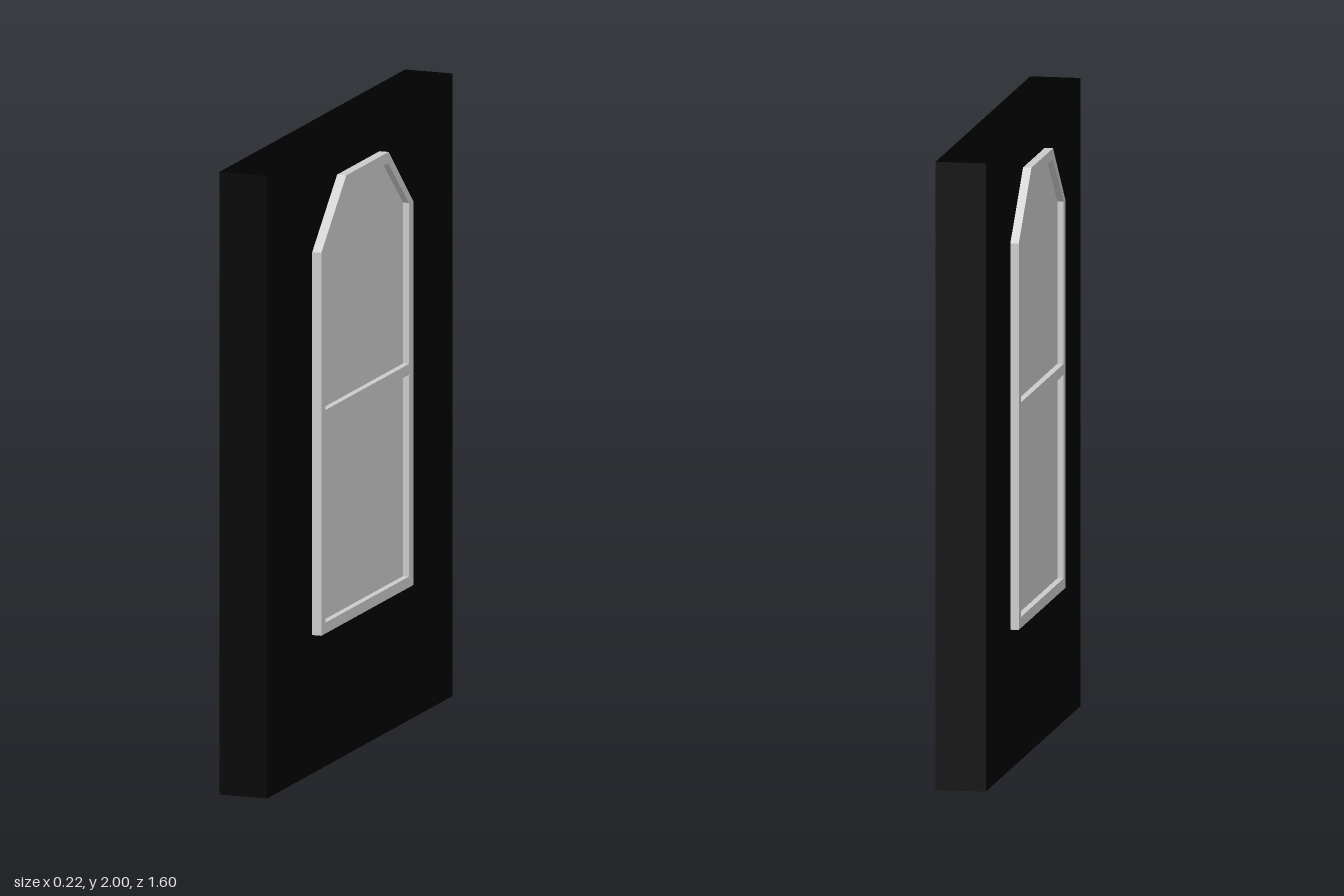
import * as THREE from 'three';

// Outlines are [z, y] points in the plane of the wall
const outer = [[0.41, 0.445], [-0.385, 0.445], [-0.385, 1.675], [-0.17, 1.88], [0.195, 1.88], [0.41, 1.675]];
const upperPane = [[0.375, 1.163], [-0.345, 1.163], [-0.345, 1.68], [-0.165, 1.845], [0.19, 1.845], [0.375, 1.68]];
const lowerPane = [[0.375, 0.48], [-0.345, 0.48], [-0.345, 1.128], [0.375, 1.128]];
const wallEdge = [[0.8, 0], [-0.8, 0], [-0.8, 2], [0.8, 2]];

const toPoints = (outline) => outline.map(([z, y]) => new THREE.Vector2(-z, y));

// Slab spanning x0..x1 with the given outline and openings
function slab(name, outline, holes, x0, x1, material) {
  const shape = new THREE.Shape(toPoints(outline));
  shape.holes = holes.map((h) => new THREE.Path(toPoints(h)));
  const geometry = new THREE.ExtrudeGeometry(shape, { depth: x1 - x0, bevelEnabled: false });
  geometry.rotateY(Math.PI / 2).translate(x0, 0, 0);
  const mesh = new THREE.Mesh(geometry, material);
  mesh.name = name;
  return mesh;
}

export function createModel() {
  const group = new THREE.Group();
  group.name = 'wallWithWindow';
  const dark = new THREE.MeshStandardMaterial({ color: 0x000000 });
  const grey = new THREE.MeshStandardMaterial({ color: 0xcccccc });

  group.add(
    // Wall with an opening for the window
    slab('wall', wallEdge, [outer], -0.083, 0.077, dark),
    // Window frame with crossbar, standing proud on both sides
    slab('windowFrame', outer, [upperPane, lowerPane], -0.11, 0.108, grey),
    // Panes set back slightly inside the frame
    slab('upperPane', upperPane, [], -0.09, 0.088, grey),
    slab('lowerPane', lowerPane, [], -0.09, 0.088, grey)
  );
  return group;
}
